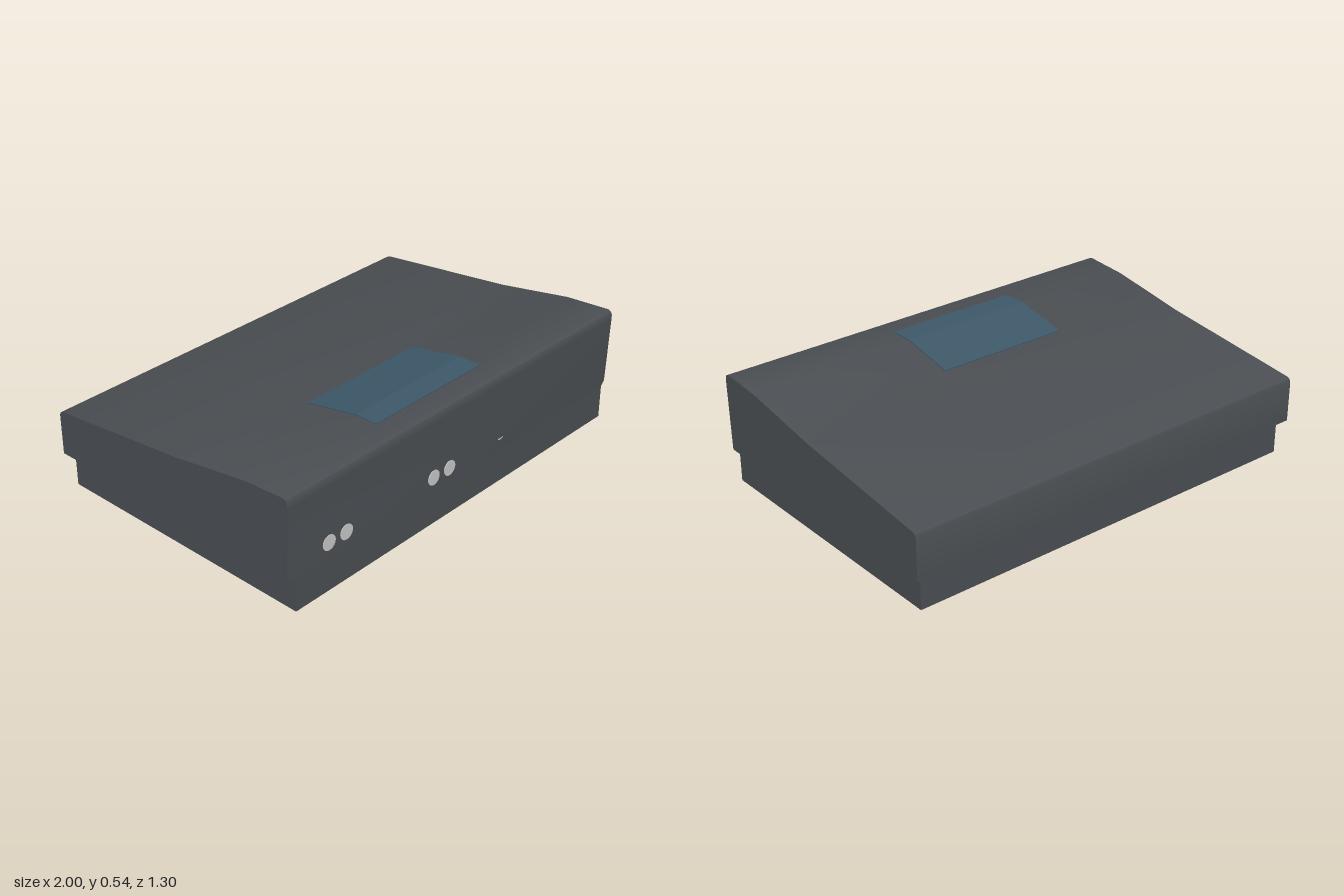
import * as THREE from 'three';
import { toCreasedNormals } from 'three/addons/utils/BufferGeometryUtils.js';

const mat = (name, color, side = THREE.FrontSide) => {
  const m = new THREE.MeshStandardMaterial({ color, side });
  m.name = name;
  return m;
};

// Half-width of the crown edge, then its z and y, then z and y of the outer side edge
const PROFILE = [
  [0.965, 0.65, 0.18, 0.64, 0.19],
  [0.975, 0.65, 0.50, 0.65, 0.50],
  [0.98, 0.65, 0.52, 0.65, 0.52],
  [0.98, 0.644, 0.534, 0.644, 0.534],
  [0.98, 0.63, 0.54, 0.63, 0.54],
  [0.975, 0.43, 0.54, 0.43, 0.526],
  [0.98, 0.25, 0.505, 0.25, 0.497],
  [0.985, 0.06, 0.466, 0.06, 0.465],
  [0.985, -0.63, 0.385, -0.63, 0.385],
  [0.985, -0.644, 0.379, -0.644, 0.379],
  [0.985, -0.65, 0.365, -0.65, 0.365],
  [0.985, -0.65, 0.18, -0.65, 0.18],
];

// Loft the cover across x through four profile rings
function coverGeometry() {
  const inner = s => PROFILE.map(([w, z, y]) => [s * w, y, z]);
  const outer = s => PROFILE.map(p => [s, p[4], p[3]]);
  const rings = [outer(-1), inner(-1), inner(1), outer(1)];
  const n = PROFILE.length;
  const pos = [];
  const tri = (a, b, c) => pos.push(...a, ...b, ...c);
  for (let i = 0; i < 3; i++) {
    for (let j = 0; j < n; j++) {
      const k = (j + 1) % n;
      const a = rings[i][j], b = rings[i + 1][j], c = rings[i + 1][k], d = rings[i][k];
      tri(a, b, c);
      tri(a, c, d);
    }
  }
  // Flat side panels
  const flat = PROFILE.map(p => new THREE.Vector2(p[3], p[4]));
  for (const [a, b, c] of THREE.ShapeUtils.triangulateShape(flat, [])) {
    tri(rings[0][a], rings[0][b], rings[0][c]);
    tri(rings[3][a], rings[3][c], rings[3][b]);
  }
  const g = new THREE.BufferGeometry();
  g.setAttribute('position', new THREE.Float32BufferAttribute(pos, 3));
  return toCreasedNormals(g, 0.6);
}

// Thin sheet that follows the top of the cover
function screenGeometry() {
  const rows = [[0.175, 0.49], [0.25, 0.505], [0.43, 0.54], [0.535, 0.54]];
  const lift = 0.004;
  const s = new THREE.Shape();
  rows.forEach(([z, y], i) => (i ? s.lineTo(-z, y + lift) : s.moveTo(-z, y + lift)));
  [...rows].reverse().forEach(([z, y]) => s.lineTo(-z, y - 0.002));
  const g = new THREE.ExtrudeGeometry(s, { depth: 0.63, bevelEnabled: false });
  g.rotateY(Math.PI / 2);
  g.translate(-0.4, 0, 0);
  return g;
}

export function createModel() {
  const model = new THREE.Group();
  model.name = 'desktopConsole';
  const body = mat('charcoal casing', 0x4a4e52);
  const rubber = mat('dark rubber', 0x3b3839);
  const glass = mat('blue screen', 0x3d5869);
  const metal = mat('pale metal', 0xc6c6c6);

  const add = (name, geometry, material, x = 0, y = 0, z = 0) => {
    const m = new THREE.Mesh(geometry, material);
    m.name = name;
    m.position.set(x, y, z);
    model.add(m);
    return m;
  };

  // Casing
  add('base', new THREE.BoxGeometry(1.93, 0.155, 1.27), body, 0, 0.1025, 0.015);
  add('cover', coverGeometry(), body);
  add('screen', screenGeometry(), glass);

  // Sockets on the front
  const disc = new THREE.CylinderGeometry(0.034, 0.034, 0.006, 24).rotateX(Math.PI / 2);
  for (const x of [-0.785, -0.69, -0.182, -0.085]) add('socket', disc, metal, x, 0.246, 0.65);

  // Small crescent indicator
  const crescent = new THREE.Shape();
  crescent.moveTo(-0.02, 0.003);
  crescent.quadraticCurveTo(0, -0.013, 0.02, 0.003);
  crescent.closePath();
  add('indicator', new THREE.ShapeGeometry(crescent), metal, 0.24, 0.238, 0.653);

  // Tapered feet
  const foot = new THREE.CylinderGeometry(0.048, 0.03, 0.027, 20);
  for (const x of [-0.885, 0.885]) {
    for (const z of [-0.51, 0.515]) add('foot', foot, rubber, x, 0.0135, z);
  }
  return model;
}
